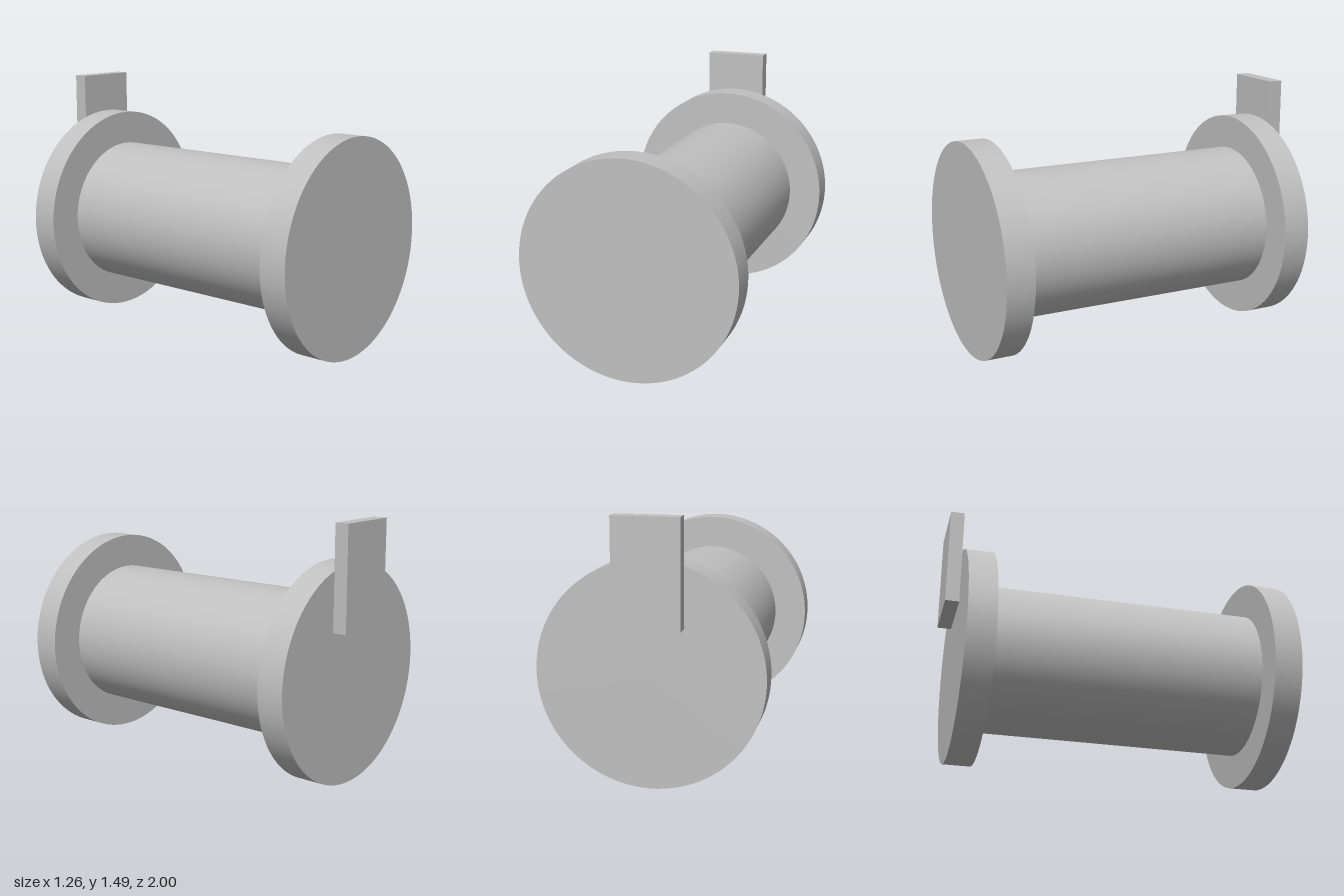
import * as THREE from 'three';

const AXIS_Y = 0.628;

export function createModel() {
  const model = new THREE.Group();
  const grey = new THREE.MeshStandardMaterial({ color: 0xc0c0c0 });
  grey.name = 'plain grey';

  // Round part lying along z, between two z positions
  const disc = (name, radius, zBack, zFront) => {
    const geometry = new THREE.CylinderGeometry(radius, radius, zFront - zBack, 96);
    geometry.rotateX(Math.PI / 2);
    const mesh = new THREE.Mesh(geometry, grey);
    mesh.name = name;
    mesh.position.set(0, AXIS_Y, (zBack + zFront) / 2);
    model.add(mesh);
  };

  // Spool: barrel between two flanges
  disc('barrel', 0.43, -0.755, 0.837);
  disc('frontFlange', 0.628, 0.837, 1);
  disc('backFlange', 0.628, -0.918, -0.755);

  // Upright mounting tab on the back flange
  const tab = new THREE.Mesh(new THREE.BoxGeometry(0.37, 0.597, 0.082), grey);
  tab.name = 'mountingTab';
  tab.position.set(-0.003, 1.19, -0.959);
  model.add(tab);

  return model;
}
